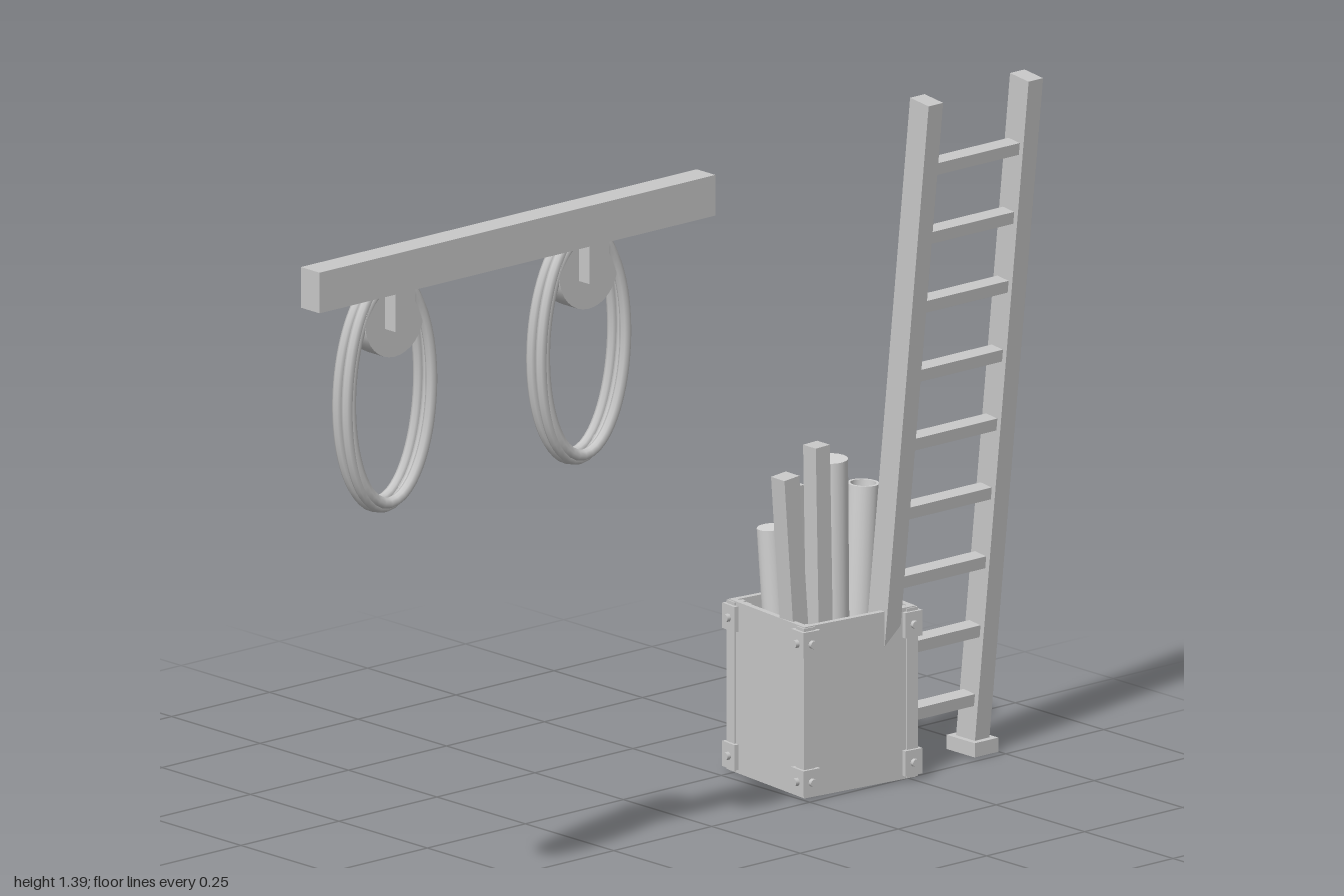
import * as THREE from 'three';

const wood = new THREE.MeshStandardMaterial({ color: 0xc8c8c8 });
wood.name = 'grey';
const paper = new THREE.MeshStandardMaterial({ color: 0xd4d4d4, side: THREE.DoubleSide });
paper.name = 'pale grey';

function add(parent, name, geometry, x, y, z, material = wood) {
  const mesh = new THREE.Mesh(geometry, material);
  mesh.name = name;
  mesh.position.set(x, y, z);
  parent.add(mesh);
  return mesh;
}
const box = (parent, name, w, h, d, x, y, z) =>
  add(parent, name, new THREE.BoxGeometry(w, h, d), x, y, z);

function group(parent, name) {
  const g = new THREE.Group();
  g.name = name;
  parent.add(g);
  return g;
}

// Short bolt head pointing along x or z
function bolt(parent, axis, r, len, x, y, z) {
  const m = add(parent, 'bolt', new THREE.CylinderGeometry(r, r, len, 10), x, y, z);
  if (axis === 'x') m.rotation.z = Math.PI / 2;
  else m.rotation.x = Math.PI / 2;
}

// Stand a mesh (its length along y) between two points
function span(mesh, base, top) {
  const a = new THREE.Vector3(...base), b = new THREE.Vector3(...top);
  mesh.position.copy(a).add(b).multiplyScalar(0.5);
  mesh.quaternion.setFromUnitVectors(new THREE.Vector3(0, 1, 0), b.sub(a).normalize());
}

function buildLadder(root) {
  const ladder = group(root, 'ladder');
  const rails = [-0.707, -0.962];
  const bottomX = -0.055, slope = 0.114;
  const lean = Math.atan(slope);
  for (const z of rails) {
    const rail = box(ladder, 'ladderRail', 0.053, 1.37, 0.037, 0, 0, 0);
    span(rail, [bottomX + 0.001, 0.01, z], [bottomX + slope * 1.367, 1.367, z]);
    box(ladder, 'ladderFoot', 0.08, 0.028, 0.06, -0.052, 0.022, z);
  }
  for (let i = 0; i < 9; i++) {
    const y = 0.118 + i * 0.139;
    const rung = box(ladder, 'ladderRung', 0.032, 0.024, 0.24, bottomX + slope * y, y, -0.8345);
    rung.rotation.z = -lean;
  }
}

function buildCrate(root) {
  const crate = group(root, 'crate');
  crate.position.set(-0.125, 0, -0.645);
  crate.rotation.y = -0.11;
  const w = 0.245, d = 0.26, h = 0.337, t = 0.012, y = 0.008 + h / 2;
  box(crate, 'crateFloor', w, t, d, 0, 0.008 + t / 2, 0);
  for (const s of [-1, 1]) {
    box(crate, 'crateSide', t, h, d, s * (w - t) / 2, y, 0);
    box(crate, 'crateEnd', w - 2 * t, h, t, 0, y, s * (d - t) / 2);
  }
  // Edge strips and bolted corner caps
  for (const sx of [-1, 1]) for (const sz of [-1, 1]) {
    box(crate, 'edgeStrip', 0.026, h - 0.004, 0.026, sx * (w / 2 - 0.01), y, sz * (d / 2 - 0.01));
    for (const cy of [0.04, 0.312]) {
      const x = sx * (w / 2 - 0.011), z = sz * (d / 2 - 0.011);
      box(crate, 'cornerCap', 0.04, 0.05, 0.04, x, cy, z);
      bolt(crate, 'x', 0.008, 0.012, x + sx * 0.022, cy, z);
      bolt(crate, 'z', 0.008, 0.012, x, cy, z + sz * 0.022);
    }
  }
}

function buildContents(root) {
  const contents = group(root, 'crateContents');
  // Rolls: radius, hollow, base, top
  const rolls = [
    [0.026, false, [-0.185, 0.025, -0.605], [-0.198, 0.49, -0.578]],
    [0.028, true, [-0.15, 0.025, -0.72], [-0.158, 0.498, -0.797]],
    [0.031, true, [-0.105, 0.025, -0.705], [-0.1, 0.57, -0.727]],
    [0.034, false, [-0.085, 0.025, -0.635], [-0.075, 0.643, -0.62]],
  ];
  for (const [r, hollow, base, top] of rolls) {
    const len = new THREE.Vector3(...base).distanceTo(new THREE.Vector3(...top)), k = len / 2;
    const geo = hollow
      ? new THREE.LatheGeometry([
        [0, -k], [r, -k], [r, -k], [r, k], [r, k], [r - 0.006, k], [r - 0.006, k],
        [r - 0.006, k - 0.12], [0, k - 0.12],
      ].map(p => new THREE.Vector2(...p)), 20)
      : new THREE.CylinderGeometry(r, r, len, 20);
    span(add(contents, 'paperRoll', geo, 0, 0, 0, paper), base, top);
  }
  // Square sticks: width, base, top
  const sticks = [
    [0.038, [-0.085, 0.025, -0.56], [-0.075, 0.63, -0.505]],
    [0.036, [-0.06, 0.025, -0.585], [-0.054, 0.685, -0.566]],
    [0.03, [-0.1, 0.025, -0.575], [-0.1, 0.6, -0.548]],
  ];
  for (const [s, base, top] of sticks) {
    const len = new THREE.Vector3(...base).distanceTo(new THREE.Vector3(...top));
    span(box(contents, 'squareStick', s, len, s, 0, 0, 0), base, top);
  }
}

// Oval loop of rope in the yz plane
function ropeLoop(halfZ, halfY) {
  const pts = [];
  for (let i = 0; i < 24; i++) {
    const a = (i / 24) * Math.PI * 2;
    pts.push(new THREE.Vector3(0, halfY * Math.sin(a), halfZ * Math.cos(a)));
  }
  return new THREE.TubeGeometry(new THREE.CatmullRomCurve3(pts, true), 64, 0.011, 8, true);
}

function buildHangingRack(root) {
  const rack = group(root, 'hangingRack');
  box(rack, 'beam', 0.053, 0.08, 1.01, 0.25, 1.352, 0.495);
  for (const z of [0.055, 0.92]) bolt(rack, 'x', 0.011, 0.016, 0.218, 1.352, z);

  for (const z of [0.245, 0.74]) {
    const hook = group(rack, 'ropeHook');
    hook.position.z = z;
    box(hook, 'bracket', 0.032, 0.135, 0.05, 0.214, 1.288, 0);
    const disc = add(hook, 'disc', new THREE.CylinderGeometry(0.074, 0.074, 0.045, 32), 0.178, 1.235, 0);
    disc.rotation.z = Math.PI / 2;
    bolt(hook, 'x', 0.014, 0.02, 0.147, 1.23, 0);
    // Coiled rope: offset x, half width, half height, twist, tilt
    const loops = [
      [0.16, 0.103, 0.222, 0.05, -0.02],
      [0.169, 0.112, 0.232, -0.04, -0.035],
      [0.181, 0.109, 0.23, 0.06, -0.03],
      [0.19, 0.1, 0.22, -0.04, -0.02],
    ];
    for (const [x, hz, hy, twist, tilt] of loops) {
      const loop = add(hook, 'ropeLoop', ropeLoop(hz, hy), x, 1.09, 0);
      loop.rotation.set(0, twist, tilt);
    }
  }
}

export function createModel() {
  const root = new THREE.Group();
  root.name = 'workshopStorage';
  buildLadder(root);
  buildCrate(root);
  buildContents(root);
  buildHangingRack(root);
  return root;
}
